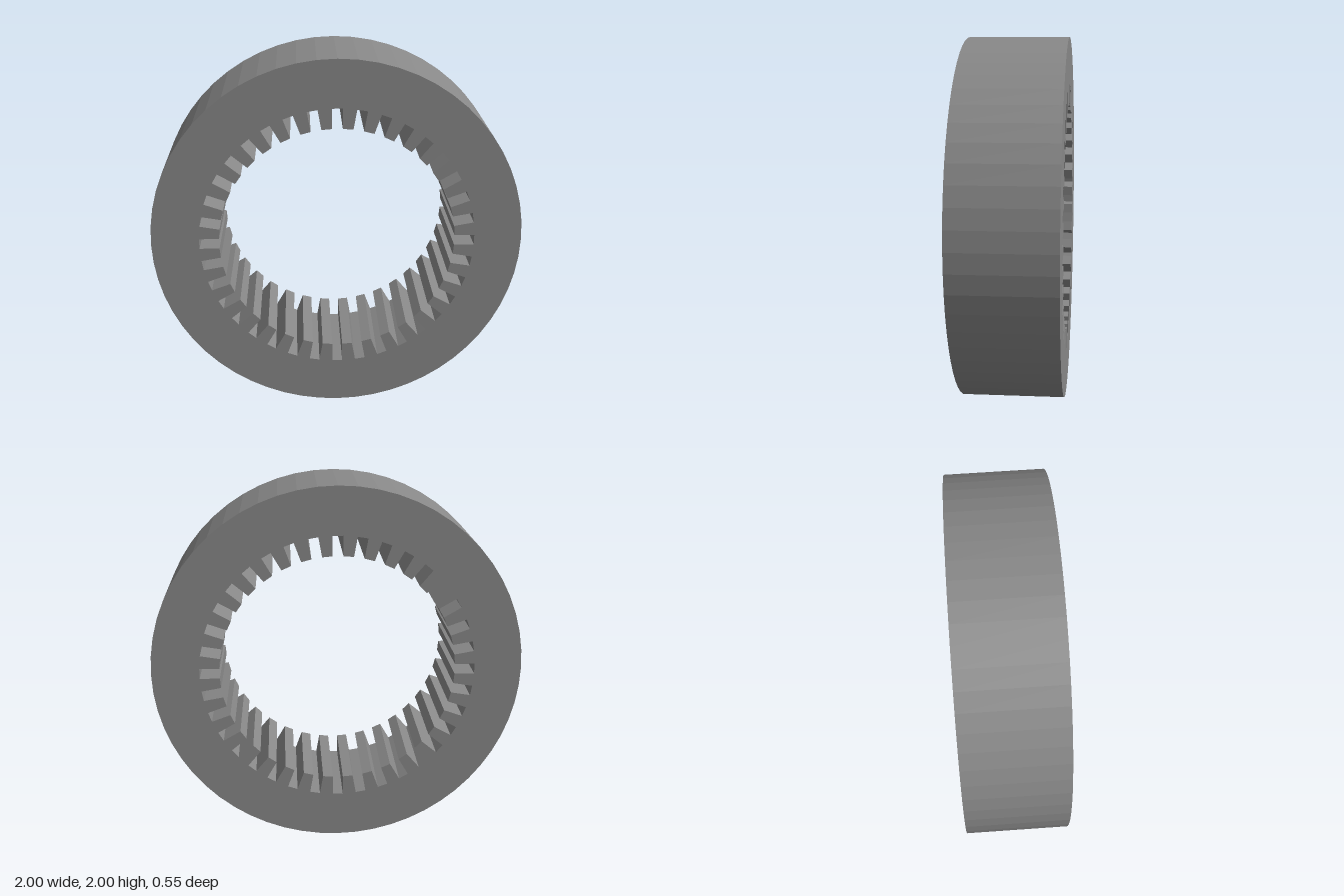
import * as THREE from 'three';

const OUTER_R = 1, SLOT_R = 0.743, BORE_R = 0.636;
const SLOTS = 36, HALF_SLOT = 0.028, DEPTH = 0.546, SIDES = 60;

export function createModel() {
  const model = new THREE.Group();
  const material = new THREE.MeshStandardMaterial({ color: 0x888888, flatShading: true });

  // Faceted outer rim
  const rim = [];
  for (let i = 0; i < SIDES; i++) {
    const a = (i / SIDES) * Math.PI * 2;
    rim.push(new THREE.Vector2(Math.cos(a) * OUTER_R, Math.sin(a) * OUTER_R));
  }
  const shape = new THREE.Shape(rim);

  // Bore with parallel-sided slots between the teeth
  const innerX = Math.sqrt(BORE_R ** 2 - HALF_SLOT ** 2);
  const slot = [[innerX, -HALF_SLOT], [SLOT_R, -HALF_SLOT], [SLOT_R, HALF_SLOT], [innerX, HALF_SLOT]];
  const bore = [];
  for (let i = 0; i < SLOTS; i++) {
    const a = (i / SLOTS) * Math.PI * 2;
    for (const [x, y] of slot) {
      bore.push(new THREE.Vector2(x, y).rotateAround(new THREE.Vector2(), a));
    }
  }
  shape.holes.push(new THREE.Path(bore));

  const geometry = new THREE.ExtrudeGeometry(shape, { depth: DEPTH, bevelEnabled: false, curveSegments: 1 });
  geometry.translate(0, OUTER_R, -DEPTH / 2);

  const ring = new THREE.Mesh(geometry, material);
  ring.name = 'slottedRing';
  model.add(ring);
  return model;
}
